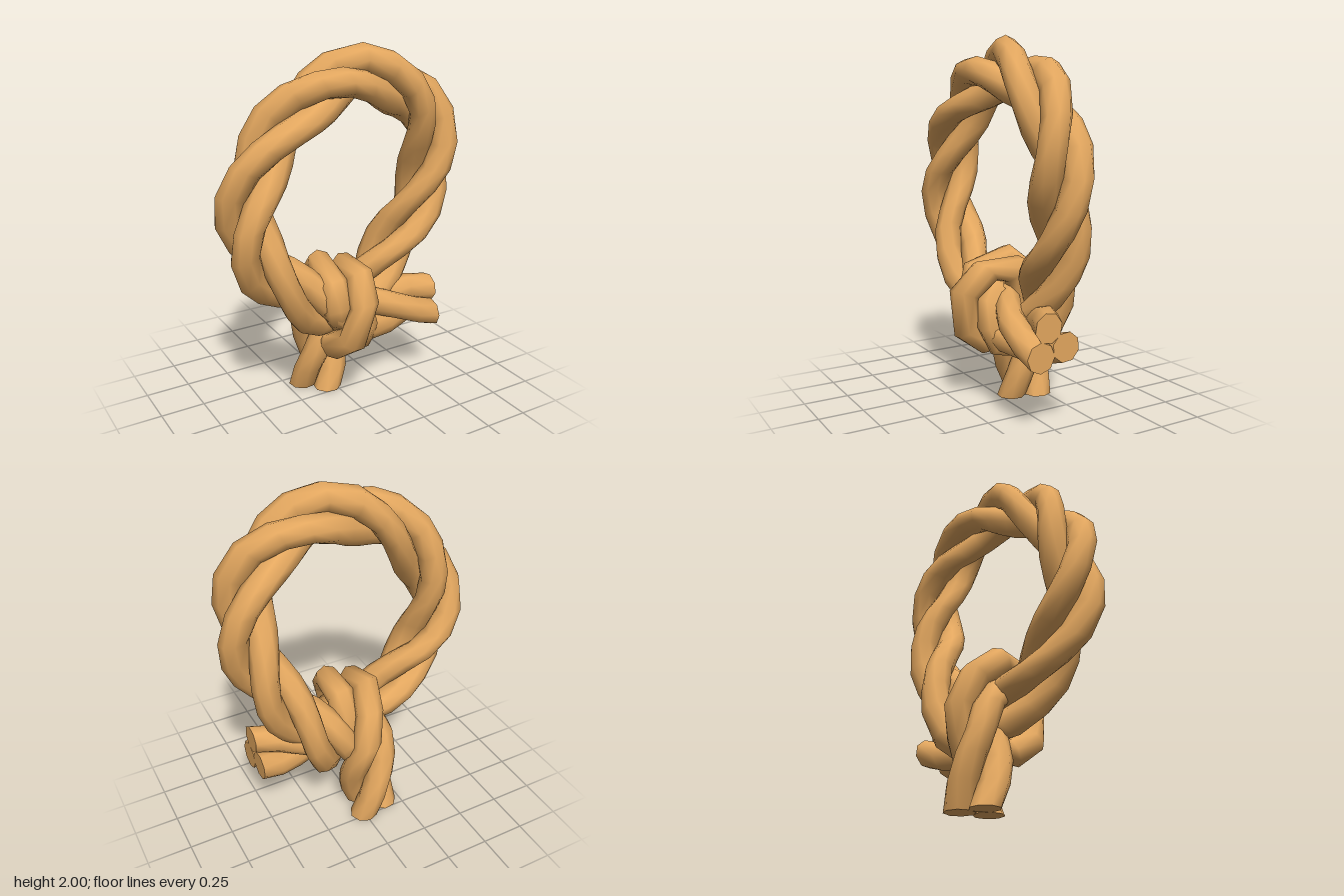
import * as THREE from 'three';

const RINGS = 44;      // cross-sections along the rope
const SIDES = 8;       // sides of each strand
const STRAND_R = 0.081;
const OFFSET = 0.088;  // strand centre from rope centre

// Centre line: tail, round the loop, hitch around the tail, standing end
const path = new THREE.CatmullRomCurve3([
  [0.56, 0.478, 0.06], [0.36, 0.485, 0.05], [0.12, 0.49, 0.03], [-0.12, 0.56, 0.03],
  [-0.35, 0.74, 0.05], [-0.54, 0.98, 0.05], [-0.56, 1.28, 0.05], [-0.34, 1.64, 0.055],
  [0.06, 1.835, 0.055], [0.44, 1.69, 0.05], [0.565, 1.4, 0.03], [0.5, 1.04, -0.02],
  [0.32, 0.73, -0.075], [0.13, 0.47, -0.09], [0.01, 0.385, 0.04], [-0.01, 0.57, 0.185],
  [-0.03, 0.76, 0.03], [-0.04, 0.58, -0.14], [-0.055, 0.32, -0.14], [-0.065, 0, -0.155],
].map(p => new THREE.Vector3(...p)));

const length = path.getLength();
const points = path.getSpacedPoints(RINGS);
const frames = path.computeFrenetFrames(RINGS, false);

// Distance from the tail to the top of the loop sets the pitch
const topIndex = points.reduce((best, p, i) => (p.y > points[best].y ? i : best), 0);
const pitch = (topIndex / RINGS) * length / 1.87;
const startAngle = Math.atan2(frames.binormals[0].y, frames.normals[0].y) - 0.23;

// One strand winding about the centre line, with flat end caps
function strandGeometry(phase) {
  const positions = [], indices = [];
  const rings = points.map((p, i) => {
    const N = frames.normals[i], B = frames.binormals[i];
    const turn = startAngle + phase + (i / RINGS) * length / pitch * Math.PI * 2;
    const move = (from, a, r) => from.clone()
      .addScaledVector(N, Math.cos(a) * r).addScaledVector(B, Math.sin(a) * r);
    const centre = move(p, turn, OFFSET);
    const ring = [];
    for (let j = 0; j < SIDES; j++) {
      const v = move(centre, turn + j / SIDES * Math.PI * 2, STRAND_R);
      if (i === 0) v.x = 0.56;
      if (i === RINGS) v.y = 0;
      ring.push(v);
    }
    return ring;
  });
  const add = v => positions.push(v.x, v.y, v.z) / 3 - 1;

  rings.forEach(ring => ring.forEach(add));
  for (let i = 0; i < RINGS; i++) {
    for (let j = 0; j < SIDES; j++) {
      const a = i * SIDES + j, b = i * SIDES + (j + 1) % SIDES;
      indices.push(a, b, a + SIDES, b, b + SIDES, a + SIDES);
    }
  }
  // Caps have their own corners so their edges stay sharp
  for (const [ring, flip] of [[rings[0], true], [rings[RINGS], false]]) {
    const first = ring.map(add)[0];
    for (let j = 1; j < SIDES - 1; j++) {
      const b = first + j, c = first + j + 1;
      indices.push(first, flip ? c : b, flip ? b : c);
    }
  }
  const geometry = new THREE.BufferGeometry();
  geometry.setAttribute('position', new THREE.Float32BufferAttribute(positions, 3));
  geometry.setIndex(indices);
  geometry.computeVertexNormals();
  return geometry;
}

export function createModel() {
  const rope = new THREE.Group();
  rope.name = 'knottedRope';
  const material = new THREE.MeshStandardMaterial({ color: 0xe3a75f });
  for (let k = 0; k < 3; k++) {
    const strand = new THREE.Mesh(strandGeometry(k * Math.PI * 2 / 3), material);
    strand.name = `ropeStrand${k + 1}`;
    rope.add(strand);
  }
  return rope;
}
